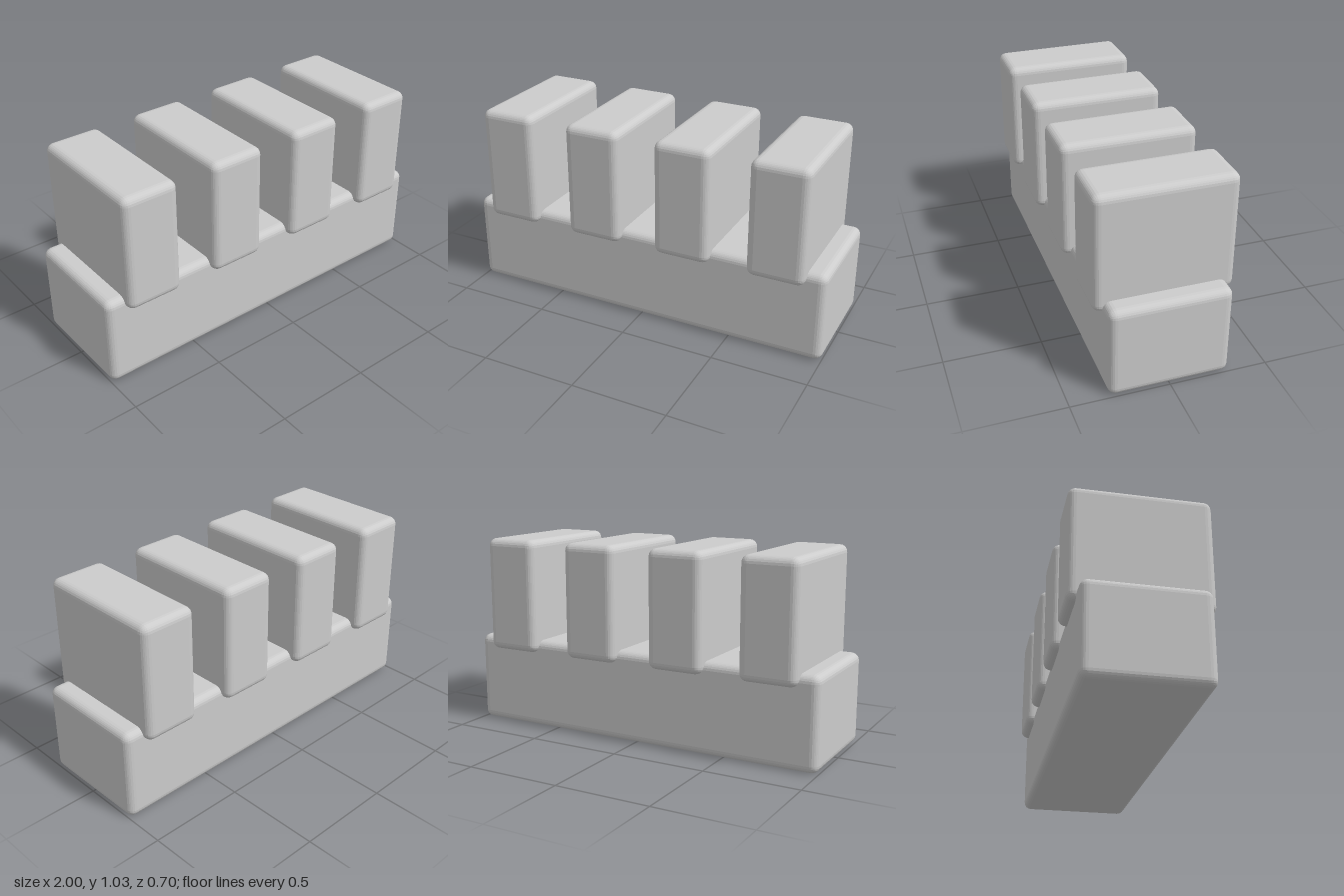
import * as THREE from 'three';
import { RoundedBoxGeometry } from 'three/addons/geometries/RoundedBoxGeometry.js';

export function createModel() {
  const group = new THREE.Group();
  const material = new THREE.MeshStandardMaterial({ color: 0xcccccc, flatShading: true });

  // Box with bevelled edges, standing on the given height
  function addBlock(name, width, height, depth, x, bottom) {
    const mesh = new THREE.Mesh(new RoundedBoxGeometry(width, height, depth, 3, 0.04), material);
    mesh.name = name;
    mesh.position.set(x, bottom + height / 2, 0);
    group.add(mesh);
  }

  // Long base bar
  addBlock('base', 2, 0.48, 0.61, 0, 0);

  // Row of four upright blocks sunk into the top of the base
  for (let i = 0; i < 4; i++) {
    addBlock(`uprightBlock${i + 1}`, 0.3, 0.61, 0.7, -0.75 + i * 0.5, 0.417);
  }

  return group;
}
